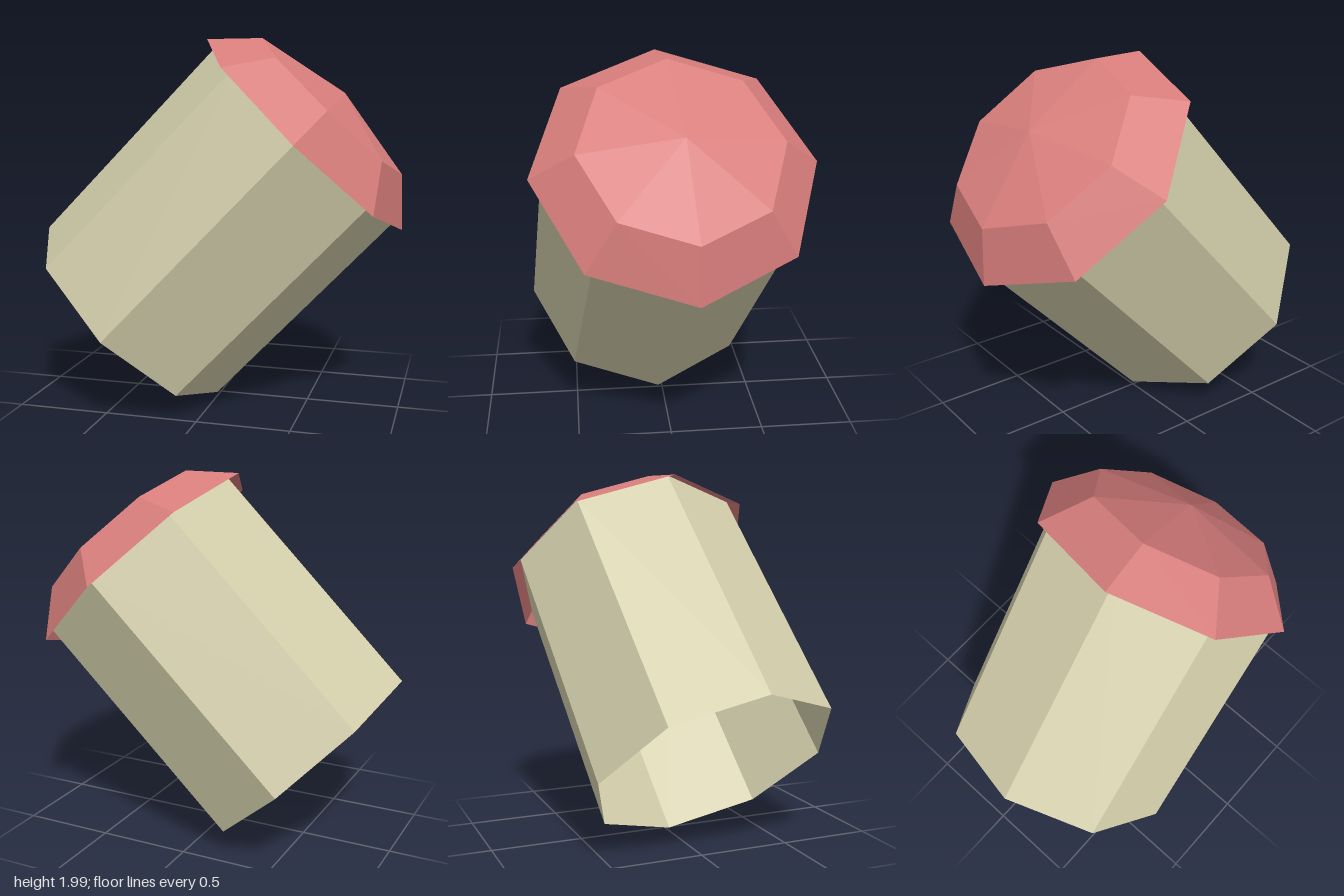
import * as THREE from 'three';

export function createModel() {
  const cream = new THREE.MeshStandardMaterial({ color: 0xd2cdaa, side: THREE.DoubleSide, flatShading: true });
  cream.name = 'cream';
  const rose = new THREE.MeshStandardMaterial({ color: 0xd87e7c, side: THREE.DoubleSide, flatShading: true });
  rose.name = 'rose';

  const model = new THREE.Group();
  model.name = 'mushroom';

  // Eight-sided surface of revolution around the mushroom's own axis
  const addPart = (name, profile, material) => {
    const points = profile.map(([r, y]) => new THREE.Vector2(r, y));
    const mesh = new THREE.Mesh(new THREE.LatheGeometry(points, 8), material);
    mesh.name = name;
    model.add(mesh);
  };

  const rim = 1.397; // height of the cap's rim along the axis

  // Hollow stem, open at the bottom, reaching just inside the cap
  addPart('stem', [[0.673, 0], [0.673, rim + 0.058]], cream);
  // Faceted cap: sloping brim and a shallow crown
  addPart('cap', [[0.736, rim], [0.521, rim + 0.211], [0, rim + 0.308]], rose);

  // Lean the whole mushroom over so that it rests on one corner of the stem
  const axis = new THREE.Vector3(0.687, 0.723, -0.072).normalize();
  const corner = new THREE.Vector3(-0.72, 0.69, 0.08);
  const side = new THREE.Vector3().crossVectors(axis, corner).normalize();
  corner.crossVectors(side, axis);
  model.quaternion.setFromRotationMatrix(new THREE.Matrix4().makeBasis(side, axis, corner));
  model.position.set(-0.5, 0.476, 0.075);

  const root = new THREE.Group();
  root.add(model);
  return root;
}
